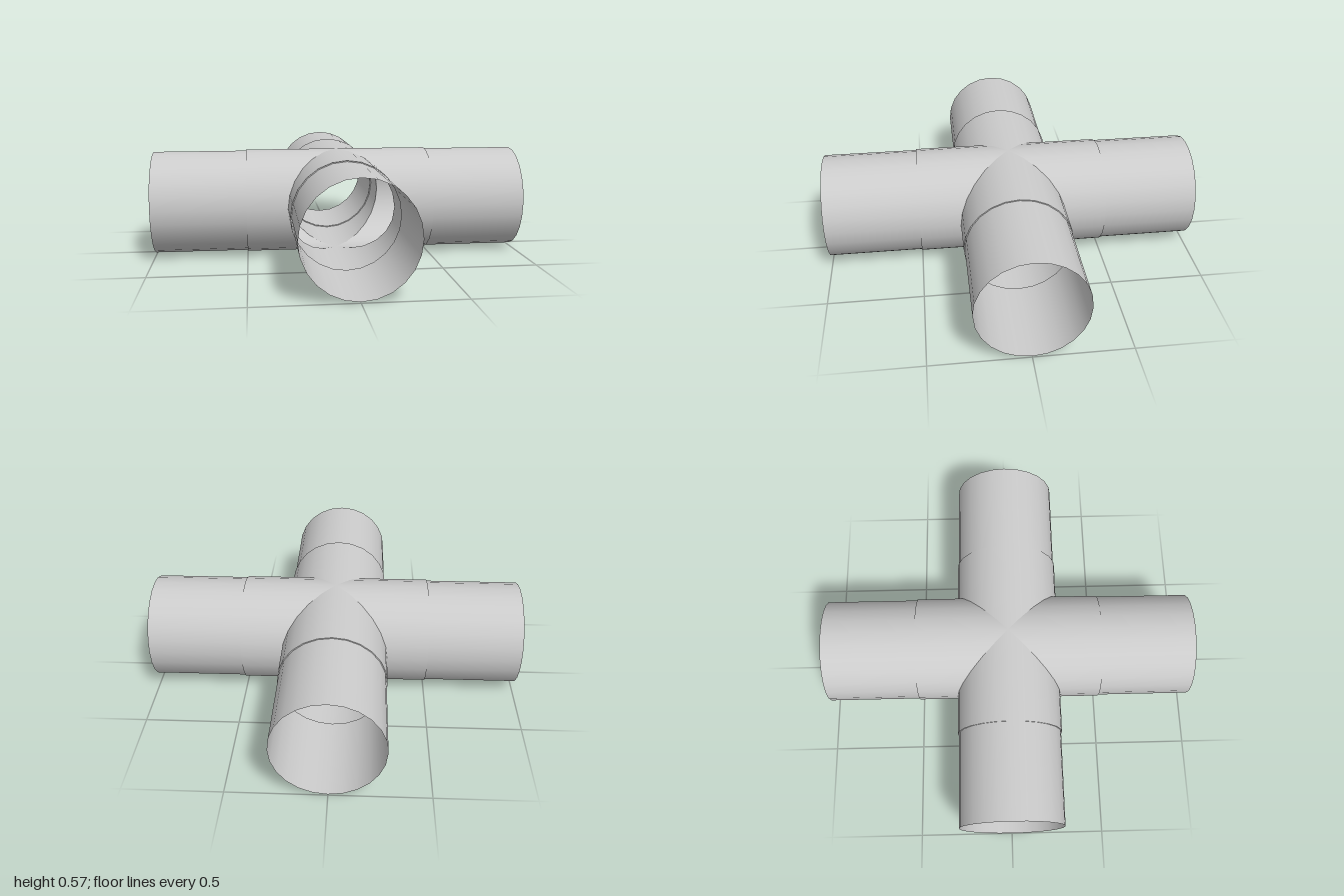
import * as THREE from 'three';

const COLLAR_R = 0.2835, PIPE_R = 0.278, STEP = 0.5, END = 1, SIDES = 24;

export function createModel() {
  const model = new THREE.Group();
  model.name = 'crossPipeFitting';
  const material = new THREE.MeshStandardMaterial({ color: 0xcccccc, side: THREE.DoubleSide });

  // Open tube lying along +z, from z = from to z = to
  const tube = (radius, from, to) =>
    new THREE.CylinderGeometry(radius, radius, to - from, SIDES, 1, true)
      .rotateX(Math.PI / 2)
      .translate(0, 0, (from + to) / 2);

  // Collar with its inner end mitred at 45 degrees to meet the neighbouring arms
  const collar = tube(COLLAR_R, 0, STEP);
  const pos = collar.attributes.position;
  for (let i = 0; i < pos.count; i++) {
    if (pos.getZ(i) < STEP / 2) pos.setZ(i, Math.abs(pos.getX(i)));
  }

  const pipe = tube(PIPE_R, STEP, END);

  // Narrow shoulder closing the step between collar and pipe
  const shoulder = new THREE.RingGeometry(PIPE_R, COLLAR_R, SIDES, 1).translate(0, 0, STEP);

  // Four identical arms around the vertical axis
  ['front', 'left', 'back', 'right'].forEach((side, i) => {
    const arm = new THREE.Group();
    arm.name = side + 'Arm';
    for (const [name, geometry] of Object.entries({ collar, pipe, shoulder })) {
      const mesh = new THREE.Mesh(geometry, material);
      mesh.name = name;
      arm.add(mesh);
    }
    arm.position.y = COLLAR_R;
    arm.rotation.y = i * Math.PI / 2;
    model.add(arm);
  });

  return model;
}
